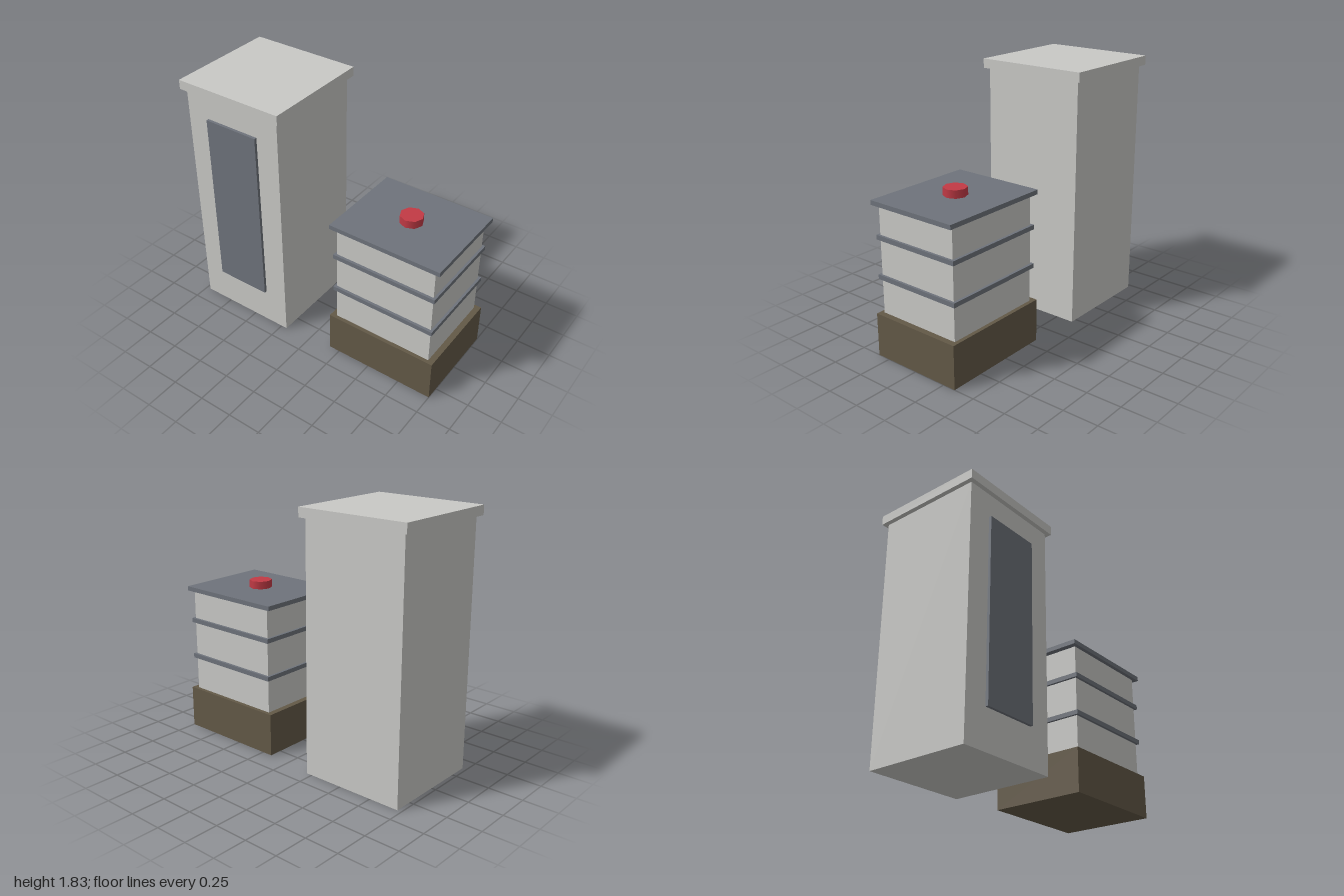
import * as THREE from 'three';

const material = (name, color) => {
  const m = new THREE.MeshStandardMaterial({ color });
  m.name = name;
  return m;
};

export function createModel() {
  const concrete = material('pale concrete', 0xc9c9c6);
  const slate = material('slate grey', 0x6e737b);
  const brown = material('brown stone', 0x635947);
  const red = material('red', 0xc23a45);

  // Box given by its width, depth and bottom and top heights
  const block = (name, mat, width, depth, bottom, top) => {
    const mesh = new THREE.Mesh(new THREE.BoxGeometry(width, top - bottom, depth), mat);
    mesh.name = name;
    mesh.position.y = (bottom + top) / 2;
    return mesh;
  };

  // Tall tower with an overhanging cap and a recess-coloured front panel
  const tower = new THREE.Group();
  tower.name = 'tower';
  tower.position.x = -0.587;
  const panel = block('frontPanel', slate, 0.415, 0.04, 0.276, 1.588);
  panel.position.z = 0.382;
  tower.add(
    block('towerBody', concrete, 0.763, 0.763, 0, 1.763),
    block('towerCap', concrete, 0.826, 0.826, 1.763, 1.83),
    panel
  );

  // Low building on a wide base, banded by ledges under a flat roof
  const building = new THREE.Group();
  building.name = 'lowBuilding';
  building.position.x = 0.585;
  building.add(
    block('base', brown, 0.83, 0.69, 0, 0.31),
    block('walls', concrete, 0.745, 0.634, 0.31, 1.073),
    block('roof', slate, 0.83, 0.69, 1.073, 1.105)
  );
  for (const y of [0.57, 0.848]) {
    building.add(block('ledge', slate, 0.78, 0.672, y - 0.016, y + 0.016));
  }

  // Eight-sided drum on the roof
  const drum = new THREE.Mesh(new THREE.CylinderGeometry(0.082, 0.082, 0.056, 8), red);
  drum.name = 'roofDrum';
  drum.position.y = 1.133;
  building.add(drum);

  const model = new THREE.Group();
  model.name = 'twoBuildings';
  model.add(tower, building);
  return model;
}
